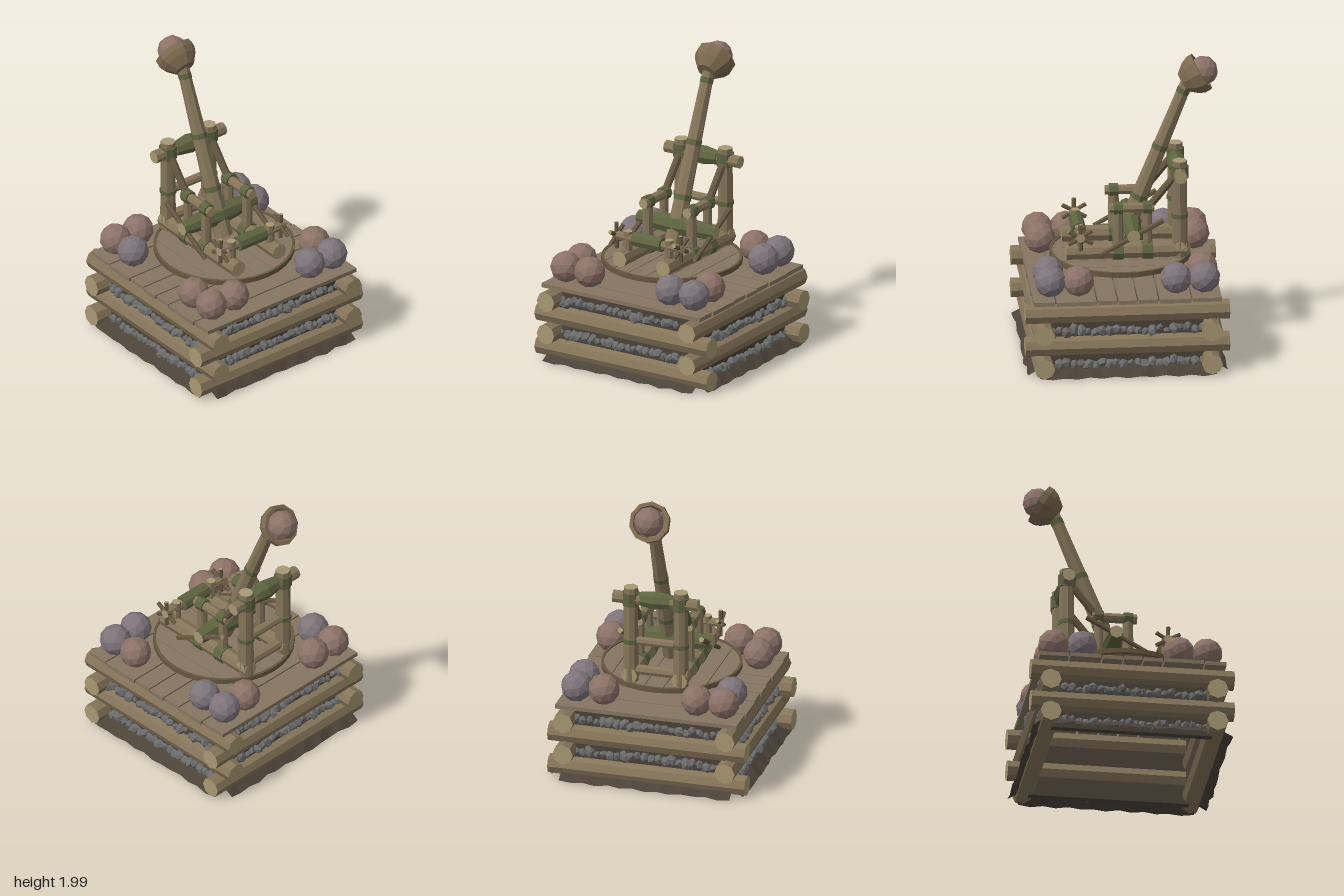
import * as THREE from 'three';

const mat = (color, side = THREE.FrontSide) =>
  new THREE.MeshStandardMaterial({ color, flatShading: true, side });

const V = (x, y, z) => new THREE.Vector3(x, y, z);
const UP = V(0, 1, 0);

export function createModel() {
  const model = new THREE.Group();
  const wood = mat(0x85755a), cut = mat(0xa89873), dark = mat(0x665740), deckWood = mat(0x857660);
  const rope = mat(0x5e6340), earth = mat(0x4b4238, THREE.DoubleSide), rubbleMat = mat(0x6b6b6b);
  const bowlMat = mat(0x7c6a50, THREE.DoubleSide);
  const reddish = mat(0x8c7268), greyish = mat(0x7e747a);

  let seed = 7;
  const rnd = () => ((seed = (seed * 16807) % 2147483647) / 2147483647);

  const add = (name, geometry, material, parent = model) => {
    const mesh = new THREE.Mesh(geometry, material);
    mesh.name = name;
    parent.add(mesh);
    return mesh;
  };
  const group = (name) => {
    const g = new THREE.Group();
    g.name = name;
    model.add(g);
    return g;
  };
  // Round timber between two points, with pale cut ends
  const beam = (name, a, b, r0, r1 = r0, parent = model, mats = [wood, cut, cut], sides = 8) => {
    const d = b.clone().sub(a);
    const g = new THREE.CylinderGeometry(r1, r0, d.length(), sides);
    const mesh = add(name, g, mats, parent);
    mesh.position.copy(a).addScaledVector(d, 0.5);
    mesh.quaternion.setFromUnitVectors(UP, d.normalize());
    return mesh;
  };
  const wrap = (a, b, r, parent = model) => beam('ropeWrap', a, b, r, r, parent, rope);

  // Log crib: alternating courses of crossed logs
  const crib = group('logCrib');
  for (const s of [-1, 1]) {
    for (const y of [0.08, 0.31]) {
      beam('crossLog', V(-0.67, y, 0.55 * s), V(0.67, y, 0.55 * s), 0.07, 0.068, crib);
    }
    for (const y of [0.2, 0.425]) {
      beam('sideLog', V(0.55 * s, y, -0.67), V(0.55 * s, y, 0.67), 0.07, 0.068, crib);
    }
  }

  // Earth fill, rubble in the gaps and a ragged skirt, repeated on four sides
  for (let k = 0; k < 4; k++) {
    const side = group('cribSide');
    side.rotation.y = (k * Math.PI) / 2;
    const gaps = k % 2 ? [0.08, 0.31] : [0.2, 0.425];
    for (const y of gaps) {
      add('earthFill', new THREE.BoxGeometry(1.06, 0.13, 0.05), earth, side).position.set(0, y, 0.53);
      for (let i = 0; i < 22; i++) {
        const stone = add('rubble', new THREE.IcosahedronGeometry(0.025 + 0.02 * rnd(), 0), rubbleMat, side);
        stone.position.set(-0.49 + i * 0.0467, y - 0.01 + 0.025 * (rnd() - 0.5), 0.56);
        stone.rotation.set(rnd() * 6, rnd() * 6, rnd() * 6);
        stone.scale.set(1.2, 0.8, 0.9);
      }
    }
    const skirt = new THREE.PlaneGeometry(1.16, 0.1, 14, 1);
    const p = skirt.attributes.position;
    for (let i = 0; i < p.count; i++) {
      const top = p.getY(i) > 0;
      p.setXYZ(i, p.getX(i), top ? 0.055 + 0.02 * rnd() : 0.01 * (i % 2), top ? 0.57 : 0.645 + 0.02 * rnd());
    }
    skirt.computeVertexNormals();
    add('earthSkirt', skirt, earth, side);
  }

  // Deck planks
  const deck = group('deck');
  const cuts = [-0.62, -0.42, -0.205, -0.065, 0.065, 0.2, 0.47, 0.62];
  for (let i = 0; i < cuts.length - 1; i++) {
    const w = cuts[i + 1] - cuts[i] - 0.01;
    const plank = add('deckPlank', new THREE.BoxGeometry(1.235 + 0.015 * (i % 2), 0.027, w), deckWood, deck);
    plank.position.set(0, 0.514, (cuts[i] + cuts[i + 1]) / 2);
  }

  // Turntable: pivot, axles, planked disc and rim
  const table = group('turntable');
  beam('pivot', V(0, 0.5, 0), V(0, 0.64, 0), 0.06, 0.06, table);
  for (const z of [-0.21, 0.21]) beam('axle', V(-0.25, 0.595, z), V(0.25, 0.595, z), 0.02, 0.02, table);
  const R = 0.45, n = 7, step = (2 * R) / n;
  for (let i = 0; i < n; i++) {
    const x0 = -R + i * step + 0.003, x1 = x0 + step - 0.006;
    const shape = new THREE.Shape();
    const arc = (x) => Math.sqrt(Math.max(0, R * R - x * x));
    for (let j = 0; j <= 6; j++) {
      const x = x0 + ((x1 - x0) * j) / 6;
      j ? shape.lineTo(x, arc(x)) : shape.moveTo(x, arc(x));
    }
    for (let j = 6; j >= 0; j--) {
      const x = x0 + ((x1 - x0) * j) / 6;
      shape.lineTo(x, -arc(x));
    }
    const g = new THREE.ExtrudeGeometry(shape, { depth: 0.02, bevelEnabled: false });
    g.rotateX(-Math.PI / 2).translate(0, 0.632, 0);
    add('turntablePlank', g, deckWood, table);
  }
  const rim = [[0.445, 0.626], [0.463, 0.626], [0.463, 0.66], [0.445, 0.66], [0.445, 0.626]];
  add('turntableRim', new THREE.LatheGeometry(rim.map(([x, y]) => new THREE.Vector2(x, y)), 32), dark, table);
  for (let i = 0; i < 10; i++) {
    const chip = add('looseStone', new THREE.IcosahedronGeometry(0.02, 0), rubbleMat, table);
    chip.position.set(0.15 * Math.cos(i * 0.63), 0.535, 0.15 * Math.sin(i * 0.63));
    chip.scale.set(1.3, 0.6, 1);
  }

  // Frame, mirrored left and right
  const frame = group('frame');
  for (const s of [-1, 1]) {
    const x = 0.17 * s;
    beam('baseBeam', V(x, 0.708, -0.42), V(x, 0.708, 0.37), 0.055, 0.055, frame);
    beam('rearPost', V(x, 0.66, -0.376), V(x, 1.325, -0.376), 0.052, 0.048, frame);
    beam('frontPost', V(x, 0.7, 0.028), V(x, 1.03, 0.028), 0.036, 0.034, frame);
    beam('middlePost', V(x, 0.7, -0.165), V(x, 1.0, -0.165), 0.03, 0.03, frame);
    beam('upperRail', V(x, 1.005, 0.085), V(x, 1.005, -0.21), 0.034, 0.034, frame);
    beam('brace', V(x, 0.99, -0.16), V(x, 1.25, -0.37), 0.026, 0.026, frame, [dark, cut, cut]);
    for (const z of [0.028, -0.165]) {
      wrap(V(x, 1.005, z - 0.03), V(x, 1.005, z + 0.03), 0.045, frame);
      wrap(V(x, 0.708, z - 0.035), V(x, 0.708, z + 0.035), 0.063, frame);
    }
    wrap(V(x, 0.93, -0.376), V(x, 0.96, -0.376), 0.056, frame);
    wrap(V(x, 1.2, -0.376), V(x, 1.29, -0.376), 0.058, frame);
    // Winch supports, handles and the tensioning lever
    beam('winchSupport', V(0.16 * s, 0.7, 0.28), V(0.16 * s, 0.88, 0.28), 0.03, 0.03, frame);
    for (const a of [0.5, 1.55, 2.6]) {
      const dy = 0.09 * Math.sin(a), dz = 0.09 * Math.cos(a);
      beam('winchHandle', V(0.25 * s, 0.835 - dy, 0.28 - dz), V(0.25 * s, 0.835 + dy, 0.28 + dz), 0.014, 0.014, frame, [dark, cut, cut], 6);
    }
    beam('lever', V(0.275 * s, 0.72, 0.15), V(0.275 * s, 0.95, -0.26), 0.015, 0.019, frame, [dark, cut, cut], 6);
    // Swollen twisted skein, one half each side
    beam('skeinHalf', V(0, 0.85, -0.065), V(0.3 * s, 0.85, -0.065), 0.075, 0.045, frame, [rope, cut, cut]);
  }
  beam('topCrossbar', V(-0.288, 1.245, -0.376), V(0.288, 1.245, -0.376), 0.043, 0.043, frame);
  for (const s of [-1, 1]) beam('armPad', V(0, 1.245, -0.37), V(0.12 * s, 1.245, -0.37), 0.065, 0.046, frame, rope);
  beam('lowerCrossbar', V(-0.2, 0.945, -0.376), V(0.2, 0.945, -0.376), 0.03, 0.03, frame);
  beam('rearSill', V(-0.22, 0.74, -0.376), V(0.22, 0.74, -0.376), 0.035, 0.035, frame);
  beam('winchBar', V(-0.265, 0.835, 0.28), V(0.265, 0.835, 0.28), 0.03, 0.03, frame);
  wrap(V(-0.11, 0.835, 0.28), V(0.11, 0.835, 0.28), 0.05, frame);

  // Throwing arm with rope bands
  const arm = group('throwingArm');
  const foot = V(0, 0.715, -0.005), tip = V(0, 1.85, -0.455);
  beam('armBeam', foot, tip, 0.062, 0.04, arm);
  for (const t of [0.27, 0.57, 0.91]) {
    const r = 0.065 - 0.022 * t;
    wrap(foot.clone().lerp(tip, t - 0.015), foot.clone().lerp(tip, t + 0.015), r, arm);
  }

  // Bowl and the loaded boulder, tipped back
  const bowlGroup = group('bowl');
  bowlGroup.position.set(0, 1.873, -0.53);
  bowlGroup.quaternion.setFromUnitVectors(UP, V(0, 0.51, -0.86).normalize());
  const bowl = [[0, -0.14], [0.07, -0.135], [0.12, -0.075], [0.137, -0.035], [0.137, 0.005],
    [0.112, 0.005], [0.1, -0.06], [0, -0.1]];
  add('bowlShell', new THREE.LatheGeometry(bowl.map(([x, y]) => new THREE.Vector2(x, y)), 10), bowlMat, bowlGroup);
  add('loadedBoulder', new THREE.IcosahedronGeometry(0.1, 1), reddish, bowlGroup).position.y = 0.015;

  // Boulders stacked in threes at the deck corners
  const ammo = group('boulders');
  for (const sx of [-1, 1]) for (const sz of [-1, 1]) {
    [[0.5, 0.5], [0.315, 0.5], [0.5, 0.315]].forEach(([x, z], i) => {
      const red = sx < 0 ? !(sz < 0 && i === 2) : (sz > 0 ? i === 2 : i === 1);
      const b = add('boulder', new THREE.IcosahedronGeometry(0.105, 1), red ? reddish : greyish, ammo);
      b.position.set(x * sx, 0.632, z * sz + (sz < 0 ? -0.01 : 0));
      b.rotation.set(i, sx, sz + i);
    });
  }
  return model;
}
